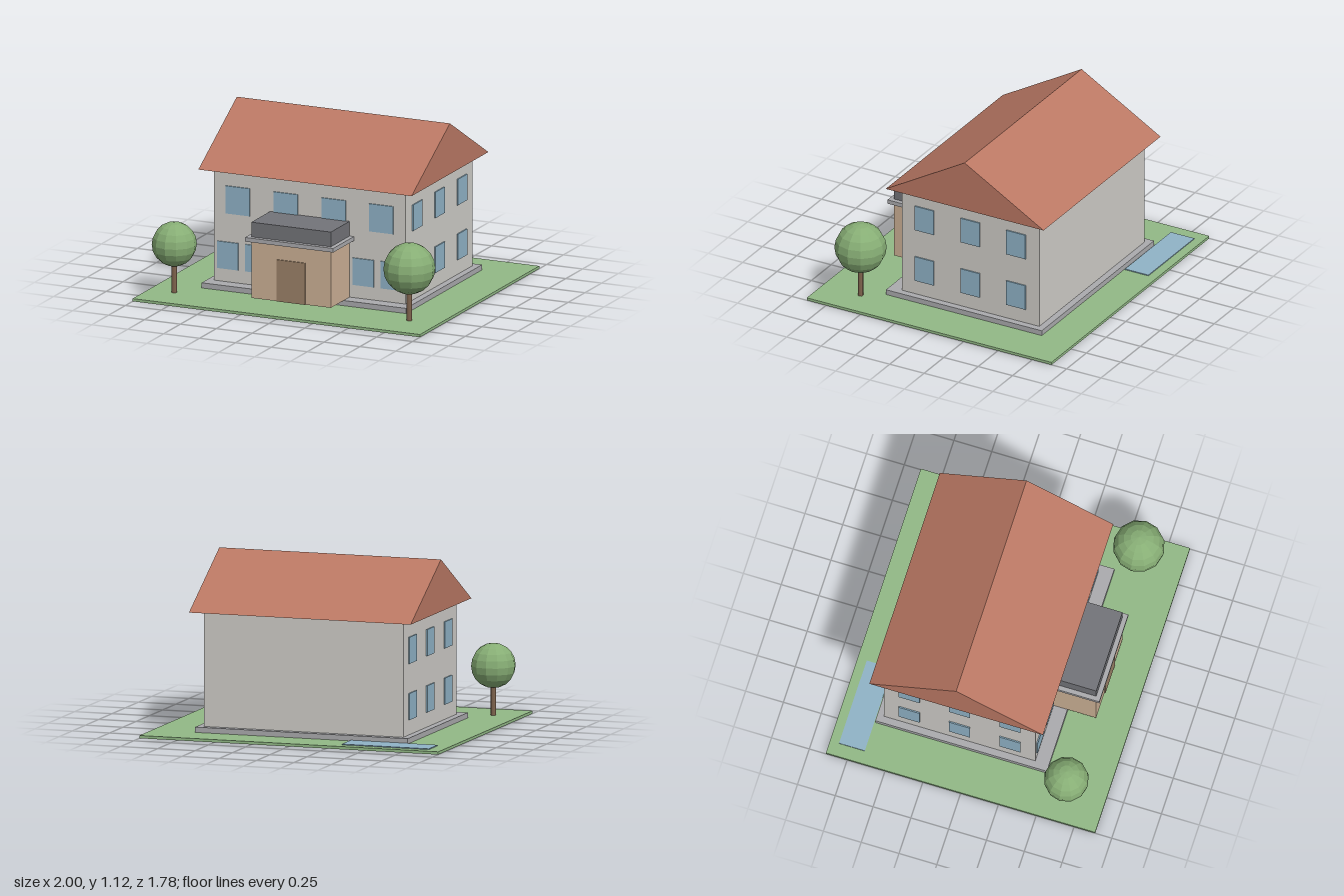
import * as THREE from 'three';

const mat = (name, color, flatShading = false) => {
  const m = new THREE.MeshStandardMaterial({ color, flatShading });
  m.name = name;
  return m;
};

export function createModel() {
  const model = new THREE.Group();
  model.name = 'house';

  const grass = mat('grass green', 0x92b986);
  const wall = mat('wall grey', 0xcfcdc8);
  const terracotta = mat('roof terracotta', 0xbb7864);
  const stone = mat('stone grey', 0xababae);
  const slate = mat('slate grey', 0x737479);
  const tan = mat('porch tan', 0xcdb196);
  const brown = mat('door brown', 0x9c8268);
  const glass = mat('window blue', 0x90b3c7);
  const bark = mat('bark brown', 0x80644e);
  const leaf = mat('leaf green', 0x87ae75, true);

  const add = (name, geometry, material, x = 0, y = 0, z = 0, parent = model) => {
    const mesh = new THREE.Mesh(geometry, material);
    mesh.name = name;
    mesh.position.set(x, y, z);
    parent.add(mesh);
    return mesh;
  };

  // Box given by its lower and upper limits on each axis
  const box = (name, material, [x0, x1], [y0, y1], [z0, z1]) =>
    add(name, new THREE.BoxGeometry(x1 - x0, y1 - y0, z1 - z0), material,
      (x0 + x1) / 2, (y0 + y1) / 2, (z0 + z1) / 2);

  // Plot, pool and house body
  box('lawn', grass, [-1, 1], [0, 0.018], [-0.89, 0.89]);
  box('pool', glass, [-0.915, -0.333], [0.018, 0.024], [-0.83, -0.66]);
  box('foundation', stone, [-0.712, 0.712], [0.018, 0.052], [-0.654, 0.48]);
  box('walls', wall, [-0.667, 0.667], [0.052, 0.787], [-0.61, 0.39]);

  // Gable roof: triangular section run along x
  const gable = new THREE.Shape();
  gable.moveTo(-0.574, 0);
  gable.lineTo(0.574, 0);
  gable.lineTo(0, 0.332);
  gable.closePath();
  const roof = new THREE.ExtrudeGeometry(gable, { depth: 1.484, bevelEnabled: false });
  roof.translate(0, 0, -0.742);
  roof.rotateY(Math.PI / 2);
  add('roof', roof, terracotta, 0, 0.786, -0.11);

  // Entrance porch
  box('porch', tan, [-0.277, 0.277], [0.052, 0.425], [0.39, 0.67]);
  box('door', brown, [-0.1, 0.1], [0.052, 0.325], [0.67, 0.677]);
  box('porchSlab', stone, [-0.307, 0.307], [0.425, 0.452], [0.39, 0.7]);
  box('porchRoof', slate, [-0.277, 0.277], [0.452, 0.548], [0.39, 0.67]);

  // Windows, mirrored left and right
  for (const s of [-1, 1]) {
    for (const x of [0.167, 0.5])
      add('frontUpperWindow', new THREE.BoxGeometry(0.167, 0.181, 0.008), glass, s * x, 0.591, 0.394);
    for (const x of [0.374, 0.569])
      add('frontLowerWindow', new THREE.BoxGeometry(0.147, 0.177, 0.008), glass, s * x, 0.225, 0.394);
    for (const z of [0.224, -0.11, -0.443])
      for (const y of [0.233, 0.592])
        add('sideWindow', new THREE.BoxGeometry(0.008, 0.17, 0.139), glass, s * 0.671, y, z);
  }

  // Trees
  const tree = (name, x, z, radius, crownY) => {
    const group = new THREE.Group();
    group.name = name;
    group.position.set(x, 0, z);
    model.add(group);
    const top = crownY - radius * 0.8;
    add('trunk', new THREE.CylinderGeometry(0.018, 0.018, top - 0.018, 8), bark,
      0, (top + 0.018) / 2, 0, group);
    add('crown', new THREE.SphereGeometry(radius, 12, 10), leaf, 0, crownY, 0, group);
  };
  tree('rightTree', -0.825, 0.645, 0.143, 0.335);
  tree('leftTree', 0.798, 0.615, 0.165, 0.358);

  return model;
}
